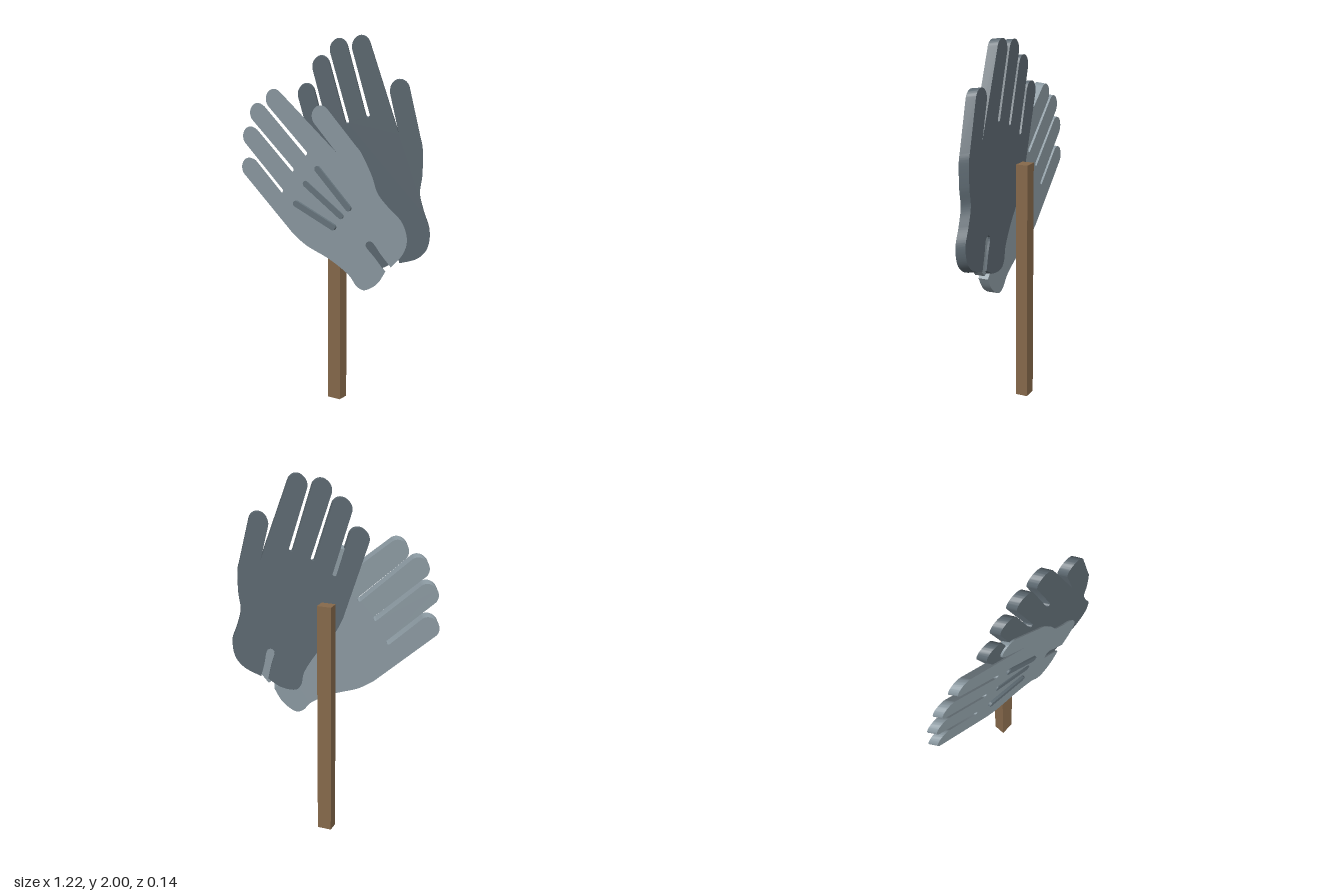
import * as THREE from 'three';
import { toCreasedNormals } from 'three/addons/utils/BufferGeometryUtils.js';

const DEPTH = 0.043;
const material = (color) => new THREE.MeshStandardMaterial({ color });
const points = (list) => list.map(([x, y]) => new THREE.Vector2(x, y));

// Flat outline of a glove: outer palm, four fingers, thumb, cuff with notch
function gloveShape() {
  const s = new THREE.Shape();
  const across = Math.atan2(0.736, 0.677); // direction across the fingers
  const tips = [[-0.524, 1.273], [-0.513, 1.448], [-0.46, 1.58], [-0.349, 1.66]];
  const slots = [[-0.307, 1.162], [-0.233, 1.284], [-0.143, 1.379]];

  // cuff bottom and outer edge of the palm
  s.moveTo(0.36, 0.79);
  s.splineThru(points([[0.312, 0.72], [0.238, 0.675], [0.185, 0.69], [0.13, 0.748],
    [0.01, 0.815], [-0.138, 0.872], [-0.23, 0.93]]));

  // round finger tips, with narrow round-ended slots between them
  tips.forEach(([x, y], i) => {
    s.absarc(x, y, 0.056, across + Math.PI, across, true);
    if (i < 3) s.absarc(...slots[i], 0.012, across + Math.PI, across + 2 * Math.PI, false);
  });

  // thumb
  s.lineTo(0.058, 1.395);
  s.absarc(-0.042, 1.581, 0.058, Math.PI * 1.25, Math.PI * 0.25, true);

  // thumb side of the palm down to the cuff
  s.lineTo(0.18, 1.436);
  s.splineThru(points([[0.215, 1.397], [0.275, 1.29], [0.312, 1.2], [0.38, 1.13],
    [0.455, 1.066], [0.487, 0.98], [0.465, 0.9], [0.395, 0.82]]));

  // teardrop notch in the cuff
  s.splineThru(points([[0.335, 0.88], [0.287, 0.935], [0.26, 0.942], [0.243, 0.928],
    [0.247, 0.905], [0.3, 0.855], [0.36, 0.79]]));
  return s;
}

// Extruded glove whose back face is slid sideways, giving slanted walls
function gloveGeometry() {
  const g = new THREE.ExtrudeGeometry(gloveShape(),
    { depth: DEPTH, bevelEnabled: false, curveSegments: 14 });
  const p = g.attributes.position;
  for (let i = 0; i < p.count; i++) {
    const k = 1 - p.getZ(i) / DEPTH;
    p.setXY(i, p.getX(i) - 0.023 * k, p.getY(i) - 0.009 * k);
  }
  return toCreasedNormals(g, 0.6);
}

// Round-ended bar from a to b
function ridgeGeometry([ax, ay], [bx, by], depth) {
  const t = Math.atan2(by - ay, bx - ax), r = 0.017;
  const s = new THREE.Shape();
  s.absarc(bx, by, r, t - Math.PI / 2, t + Math.PI / 2, false);
  s.absarc(ax, ay, r, t + Math.PI / 2, t + Math.PI * 1.5, false);
  s.closePath();
  const g = new THREE.ExtrudeGeometry(s, { depth, bevelEnabled: false, curveSegments: 10 });
  return toCreasedNormals(g, 0.6);
}

export function createModel() {
  const model = new THREE.Group();
  model.name = 'glovesOnPost';
  const add = (name, geometry, mat, x, y, z) => {
    const mesh = new THREE.Mesh(geometry, mat);
    mesh.name = name;
    mesh.position.set(x, y, z);
    model.add(mesh);
    return mesh;
  };

  // post
  add('post', new THREE.BoxGeometry(0.08, 1.333, 0.066), material(0x86694b), 0, 0.6665, -0.041);

  // the two gloves share one shape, the rear one turned upright
  const glove = gloveGeometry();
  const light = material(0x8a98a0);
  add('frontGlove', glove, light, 0, 0, 0.011);
  const rear = add('rearGlove', glove, material(0x5c6870), -0.307, 0.325, 0.001);
  rear.rotation.z = THREE.MathUtils.degToRad(-29.3);

  // stitched ridges on the back of the front glove
  const ridge = material(0x66747c);
  [
    [[-0.06, 1.3], [0.135, 1.108], 0.012],
    [[-0.14, 1.213], [0.085, 1.06], 0.007],
    [[-0.2, 1.1], [0.04, 0.996], 0.016],
  ].forEach(([a, b, h], i) =>
    add('ridge' + (i + 1), ridgeGeometry(a, b, h), ridge, 0, 0, 0.011 + DEPTH - 0.001));

  return model;
}
